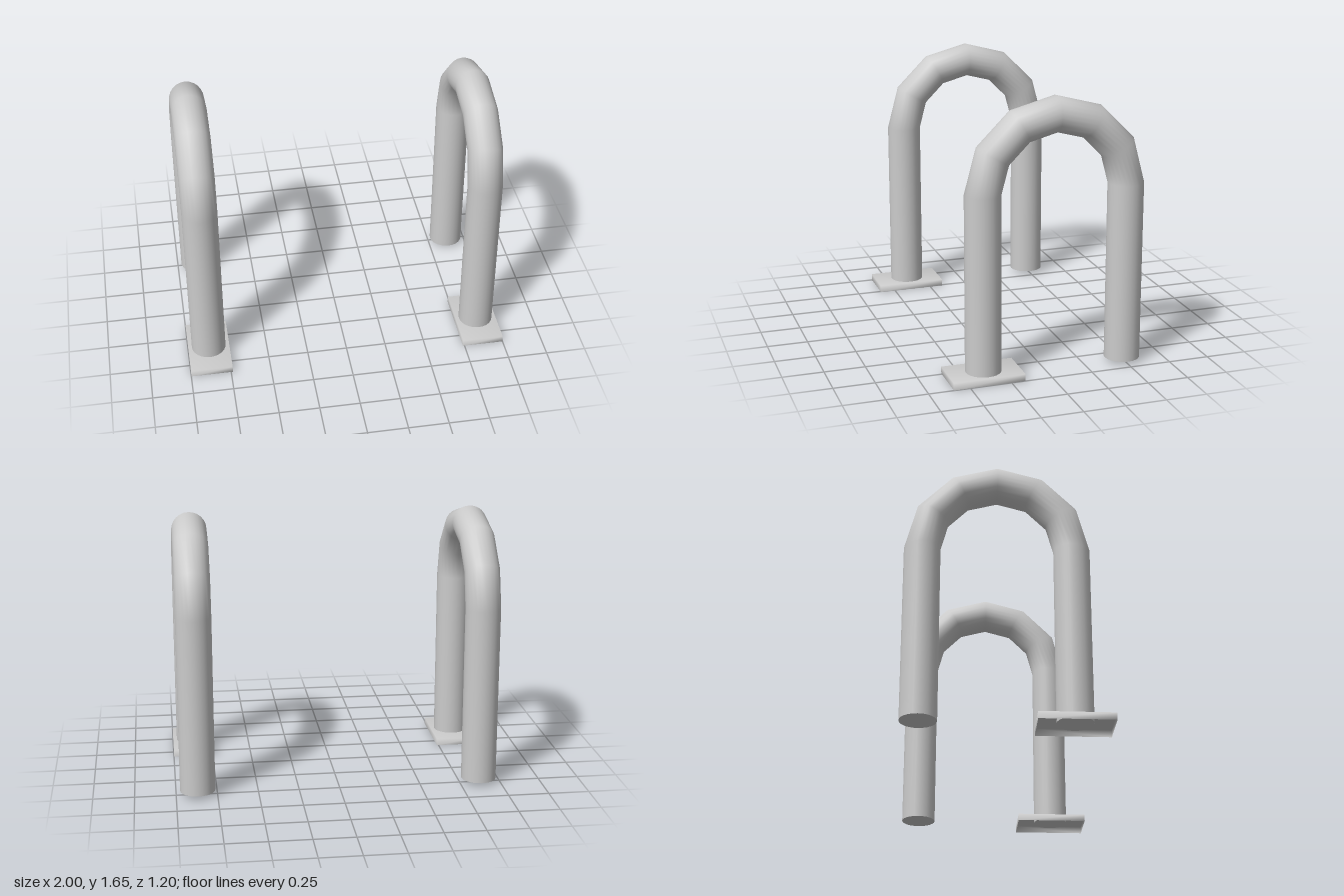
import * as THREE from 'three';
import { mergeVertices } from 'three/addons/utils/BufferGeometryUtils.js';

const TUBE_R = 0.107;   // pipe radius
const BEND_R = 0.437;   // bend centreline radius
const BEND_Y = 1.11;    // height where the bend starts
const FOOT_Y = 0.025;   // lower end of both legs
const MID_Z = -0.055;   // middle of the arch
const SIDES = 24;

const material = new THREE.MeshStandardMaterial({ color: 0xcccccc, side: THREE.DoubleSide });

function addPart(group, name, geometry, y, z) {
  const mesh = new THREE.Mesh(geometry, material);
  mesh.name = name;
  mesh.position.set(0, y, z);
  group.add(mesh);
}

// Shallow plate, open underneath, with softly blended normals
function plateGeometry(w, h, d) {
  const box = new THREE.BoxGeometry(w, h, d);
  const index = Array.from(box.index.array);
  index.splice(18, 6); // drop the underside
  box.setIndex(index);
  box.clearGroups();
  box.deleteAttribute('normal');
  box.deleteAttribute('uv');
  const plate = mergeVertices(box);
  plate.computeVertexNormals();
  return plate;
}

function createHandle(name) {
  const handle = new THREE.Group();
  handle.name = name;

  // Half-ring bend in six straight steps
  const bend = new THREE.TorusGeometry(BEND_R, TUBE_R, SIDES, 6, Math.PI).rotateY(Math.PI / 2);
  addPart(handle, 'bend', bend, BEND_Y, MID_Z);

  // Legs, closed at the bottom
  const length = BEND_Y - FOOT_Y;
  for (const [legName, side] of [['frontLeg', 1], ['backLeg', -1]]) {
    const z = MID_Z + side * BEND_R;
    addPart(handle, legName, new THREE.CylinderGeometry(TUBE_R, TUBE_R, length, SIDES, 1, true),
      FOOT_Y + length / 2, z);
    addPart(handle, legName + 'End', new THREE.CircleGeometry(TUBE_R, SIDES).rotateX(Math.PI / 2), FOOT_Y, z);
  }

  // Mounting plate under the front leg
  addPart(handle, 'mountingPlate', plateGeometry(0.26, 0.043, 0.435), 0.0215, MID_Z + BEND_R);
  return handle;
}

export function createModel() {
  const model = new THREE.Group();
  model.name = 'pairOfArchedRails';
  for (const [name, side] of [['leftRail', 1], ['rightRail', -1]]) {
    const handle = createHandle(name);
    handle.position.x = side * 0.869;
    model.add(handle);
  }
  return model;
}
